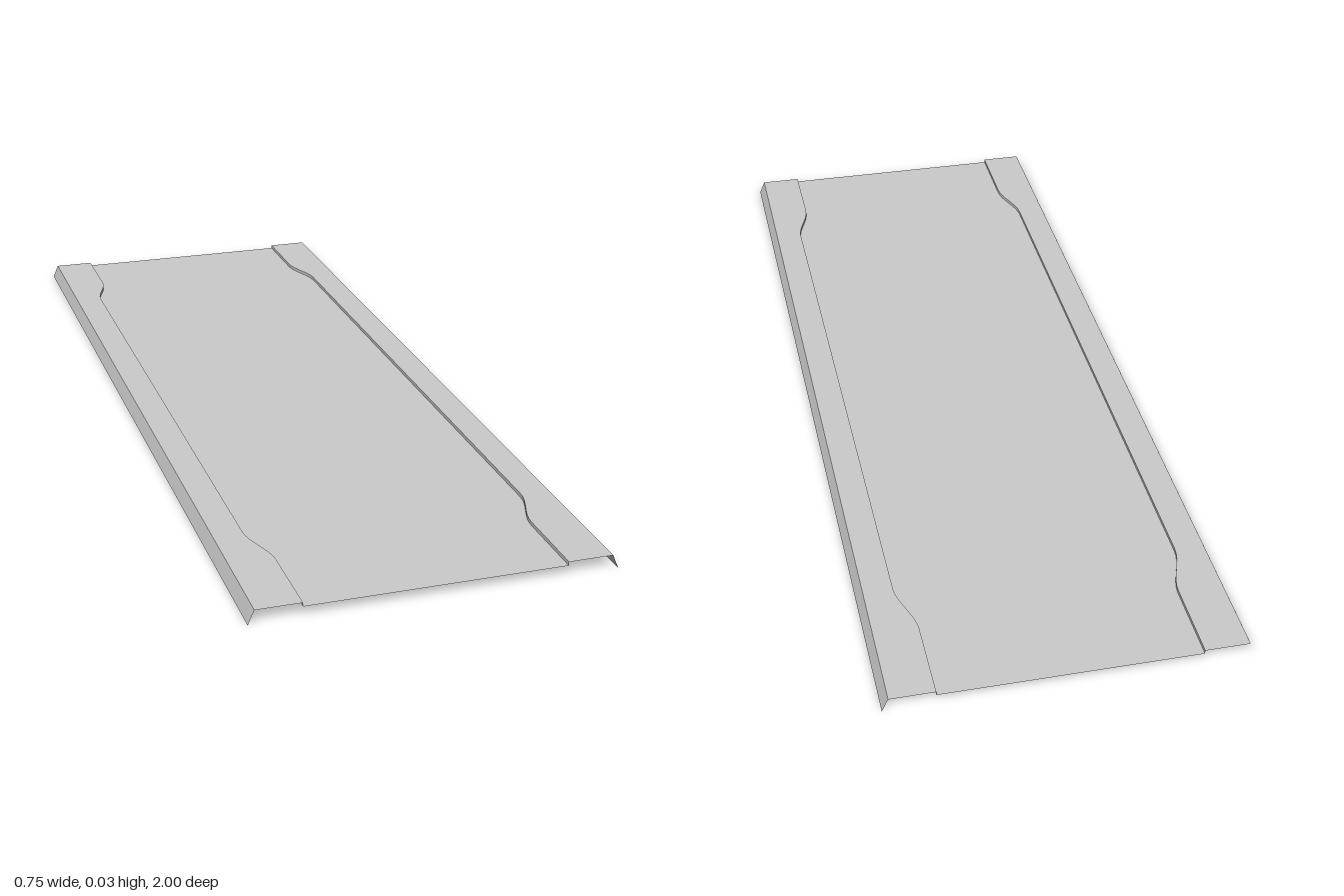
import * as THREE from 'three';

const TOP = 0.03, FLOOR = 0.022;
const RIM_X = 0.36, FOOT_X = 0.373;
const WIDE = 0.298, NARROW = 0.267;
const BEND_START = 0.70, BEND_END = 0.825;

// Half width of the recessed floor: wide along the middle, narrowing in an S near both ends
const halfWidth = z =>
  WIDE + (NARROW - WIDE) * THREE.MathUtils.smoothstep(Math.abs(z), BEND_START, BEND_END);

// Stations along the length, denser through the S bends
const stations = [];
for (let i = 0; i <= 8; i++) stations.push(BEND_START + (BEND_END - BEND_START) * i / 8);
stations.push(1);
const zs = [...stations.map(z => -z).reverse(), ...stations];

// Thin sheet between two edge lines, each a function z -> [x, y]
function sheet(name, edgeA, edgeB, material) {
  const positions = [], index = [];
  zs.forEach((z, i) => {
    positions.push(...edgeA(z), z, ...edgeB(z), z);
    if (i) {
      const k = 2 * i;
      index.push(k - 2, k, k - 1, k - 1, k, k + 1);
    }
  });
  const geometry = new THREE.BufferGeometry();
  geometry.setAttribute('position', new THREE.Float32BufferAttribute(positions, 3));
  geometry.setIndex(index);
  geometry.computeVertexNormals();
  const mesh = new THREE.Mesh(geometry, material);
  mesh.name = name;
  return mesh;
}

export function createModel() {
  const group = new THREE.Group();
  group.name = 'trayPanel';
  const material = new THREE.MeshStandardMaterial({ color: 0xcccccc, side: THREE.DoubleSide });

  // Recessed floor
  group.add(sheet('floor', z => [-halfWidth(z), FLOOR], z => [halfWidth(z), FLOOR], material));

  // Step, raised border and splayed outer lip on each side
  for (const [label, s] of [['left', 1], ['right', -1]]) {
    const stepFoot = z => [s * halfWidth(z), FLOOR];
    const stepTop = z => [s * halfWidth(z), TOP];
    const rim = () => [s * RIM_X, TOP];
    const lipFoot = () => [s * FOOT_X, 0];
    const add = (part, a, b) =>
      group.add(s > 0 ? sheet(label + part, a, b, material) : sheet(label + part, b, a, material));
    add('Step', stepFoot, stepTop);
    add('Border', stepTop, rim);
    add('Lip', rim, lipFoot);
  }
  return group;
}
